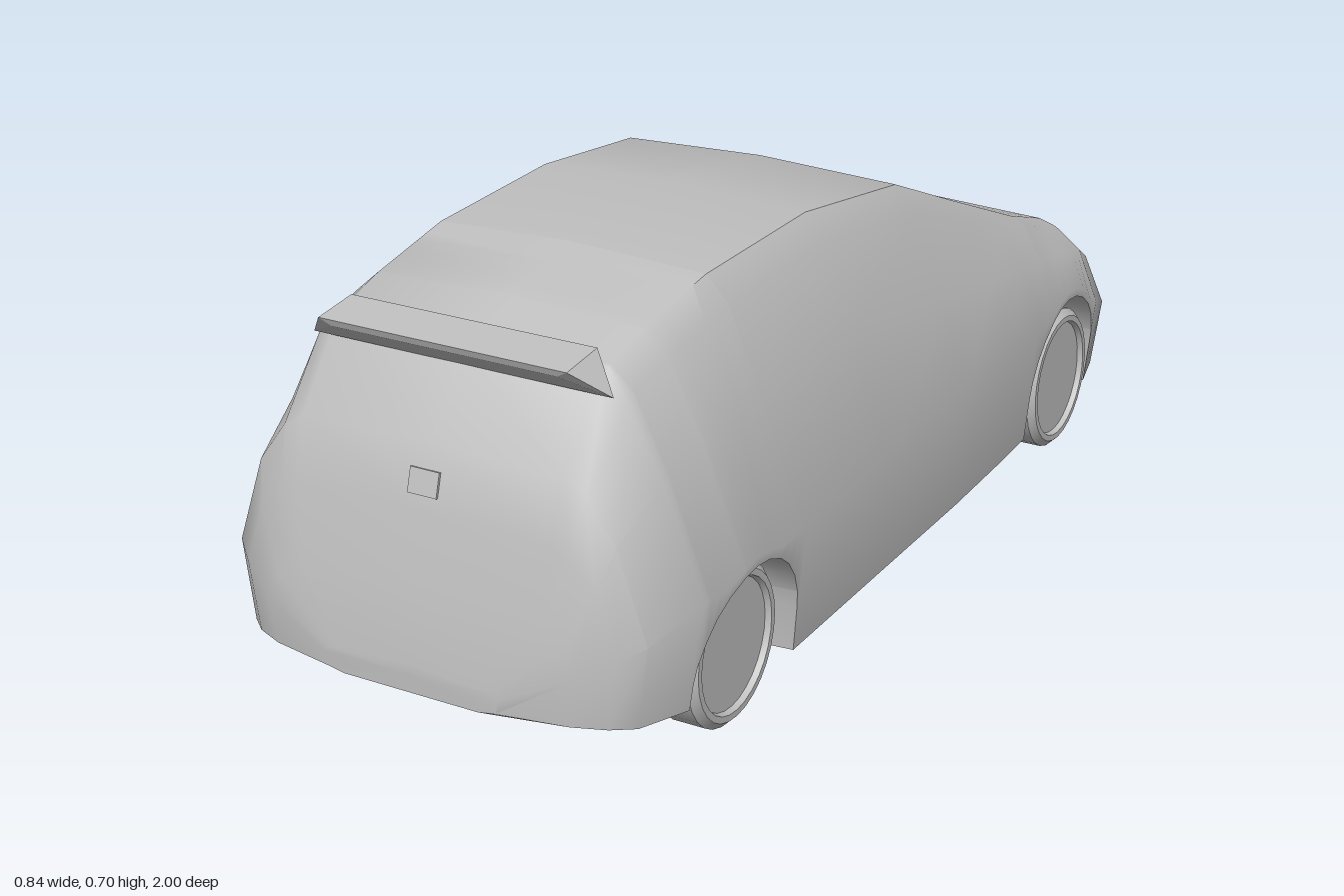
import * as THREE from 'three';
import { toCreasedNormals } from 'three/addons/utils/BufferGeometryUtils.js';
import { ConvexGeometry } from 'three/addons/geometries/ConvexGeometry.js';

// Body stations: z, top, roof half width, belt half width, belt y, widest half width, widest y
const STATIONS = [
  [-1.0, 0.20, 0.19, 0.19, 0.17, 0.19, 0.14],
  [-0.97, 0.255, 0.20, 0.23, 0.21, 0.24, 0.16],
  [-0.93, 0.295, 0.20, 0.25, 0.25, 0.28, 0.18],
  [-0.84, 0.345, 0.25, 0.34, 0.29, 0.38, 0.20],
  [-0.74, 0.40, 0.28, 0.365, 0.34, 0.405, 0.24],
  [-0.52, 0.48, 0.31, 0.375, 0.39, 0.41, 0.28],
  [-0.30, 0.575, 0.29, 0.37, 0.42, 0.415, 0.30],
  [-0.11, 0.66, 0.265, 0.36, 0.45, 0.418, 0.30],
  [0.20, 0.705, 0.25, 0.348, 0.50, 0.418, 0.30],
  [0.52, 0.705, 0.245, 0.345, 0.50, 0.418, 0.30],
  [0.70, 0.68, 0.24, 0.345, 0.50, 0.415, 0.30],
  [0.80, 0.655, 0.24, 0.335, 0.49, 0.405, 0.30],
  [0.92, 0.52, 0.235, 0.32, 0.42, 0.37, 0.27],
  [0.95, 0.42, 0.23, 0.30, 0.36, 0.335, 0.25],
  [0.975, 0.30, 0.21, 0.255, 0.26, 0.28, 0.22],
  [1.0, 0.185, 0.12, 0.15, 0.175, 0.16, 0.165],
];
const ARCHES = [{ z: -0.59, y: 0.14, r: 0.155 }, { z: 0.665, y: 0.15, r: 0.15 }];

function stationAt(z) {
  let i = 0;
  while (i < STATIONS.length - 2 && z > STATIONS[i + 1][0]) i++;
  const a = STATIONS[i], b = STATIONS[i + 1], t = (z - a[0]) / (b[0] - a[0]);
  return a.map((v, k) => v + (b[k] - v) * t);
}

// Closed cross-section, with the sill raised inside a wheel arch
function section(z, arched) {
  let [, top, wr, wb, yb, ww, yw] = stationAt(z);
  // The floor climbs towards the rear bumper and slightly at the nose
  const floor = 0.06 + 0.01 * THREE.MathUtils.smoothstep(z, -0.3, 0.5)
    + 0.13 * Math.max(0, z - 0.5) + 0.4 * Math.max(0, -0.95 - z);
  const yr = top - 0.01, wl = ww * 0.95;
  let lip = floor + 0.006;
  for (const a of ARCHES) {
    const d = Math.abs(z - a.z);
    if (arched && d < a.r) lip = Math.max(lip, a.y + Math.sqrt(a.r * a.r - d * d));
  }
  yw = Math.max(yw, lip + 0.015);
  yb = Math.max(yb, yw + 0.01);
  const inner = Math.min(0.29, wl * 0.8);
  const lipX = wl + (ww - wl) * Math.min(1, (lip - floor) / (yw - floor));
  const half = [
    [inner, floor], [inner, lip - 0.006], [lipX, lip], [ww, yw], [wb, yb],
    [wr + (wb - wr) * 0.4, yr - (yr - yb) * 0.22], [wr, yr],
  ];
  const mirrored = half.slice().reverse().map(([x, y]) => [-x, y]);
  return [[0, floor], ...half, [0, top], ...mirrored].map(([x, y]) => [x, y, z]);
}

function bodyGeometry() {
  const cuts = STATIONS.map((s) => ({ z: s[0], arched: true }));
  for (const a of ARCHES) {
    for (const s of [-1, 1]) cuts.push({ z: a.z + s * (a.r + 0.002), arched: false });
    for (let i = 0; i <= 12; i++) cuts.push({ z: a.z - a.r * 0.998 * Math.cos((i / 12) * Math.PI), arched: true });
  }
  cuts.sort((p, q) => p.z - q.z);
  const rings = cuts.map((c) => section(c.z, c.arched));
  const n = rings[0].length, last = rings.length - 1, index = [];
  const pos = rings.flat(2);
  for (let k = 0; k < last; k++) {
    for (let i = 0; i < n; i++) {
      const a = k * n + i, b = k * n + (i + 1) % n;
      index.push(a, b, a + n, b, b + n, a + n);
    }
  }
  // End caps fan from the middle of the nose and the tail
  const nose = pos.length / 3;
  pos.push(0, 0.14, -1, 0, 0.165, 1);
  for (let i = 0; i < n; i++) {
    const j = (i + 1) % n;
    index.push(nose, j, i, nose + 1, last * n + i, last * n + j);
  }
  const geo = new THREE.BufferGeometry();
  geo.setAttribute('position', new THREE.Float32BufferAttribute(pos, 3));
  geo.setIndex(index);
  return toCreasedNormals(geo, 0.75);
}

export function createModel() {
  const model = new THREE.Group();
  model.name = 'hatchback';
  const grey = new THREE.MeshStandardMaterial({ color: 0xc0c0c0, side: THREE.DoubleSide });
  grey.name = 'body grey';
  const add = (parent, name, geo) => {
    const mesh = new THREE.Mesh(geo, grey);
    mesh.name = name;
    parent.add(mesh);
    return mesh;
  };

  add(model, 'bodyShell', bodyGeometry());

  // Roof spoiler
  const spoiler = [];
  for (const s of [-1, 1]) {
    for (const [x, y, z] of [[0.22, 0.67, 0.8], [0.22, 0.662, 0.885], [0.2, 0.65, 0.88], [0.268, 0.613, 0.835]]) {
      spoiler.push(new THREE.Vector3(s * x, y, z));
    }
  }
  add(model, 'roofSpoiler', new ConvexGeometry(spoiler));

  // Small square plate on the tailgate
  const plate = add(model, 'tailgatePlate', new THREE.BoxGeometry(0.052, 0.04, 0.008));
  plate.position.set(0, 0.46, 0.938);
  plate.rotation.x = -0.29;

  // Wheels: a rounded tyre with a flat recessed disc
  const R = 0.135, W = 0.04;
  const profile = [
    [0.108, -W + 0.012], [0.112, -W], [R - 0.012, -W], [R, -W + 0.012],
    [R, W - 0.012], [R - 0.012, W], [0.112, W], [0.108, W - 0.012],
  ].map(([x, y]) => new THREE.Vector2(x, y));
  const tyre = toCreasedNormals(new THREE.LatheGeometry(profile, 28), 0.6);
  const disc = new THREE.CylinderGeometry(0.109, 0.109, 2 * W - 0.02, 28);
  const wheels = [
    ['frontLeftWheel', 0.36, 0.135, -0.585], ['frontRightWheel', -0.36, 0.155, -0.585],
    ['rearLeftWheel', 0.345, 0.16, 0.675], ['rearRightWheel', -0.36, 0.157, 0.675],
  ];
  for (const [name, x, y, z] of wheels) {
    const wheel = new THREE.Group();
    wheel.name = name;
    add(wheel, 'tyre', tyre);
    add(wheel, 'wheelDisc', disc);
    wheel.rotation.z = Math.PI / 2;
    wheel.position.set(x, y, z);
    model.add(wheel);
  }
  return model;
}
